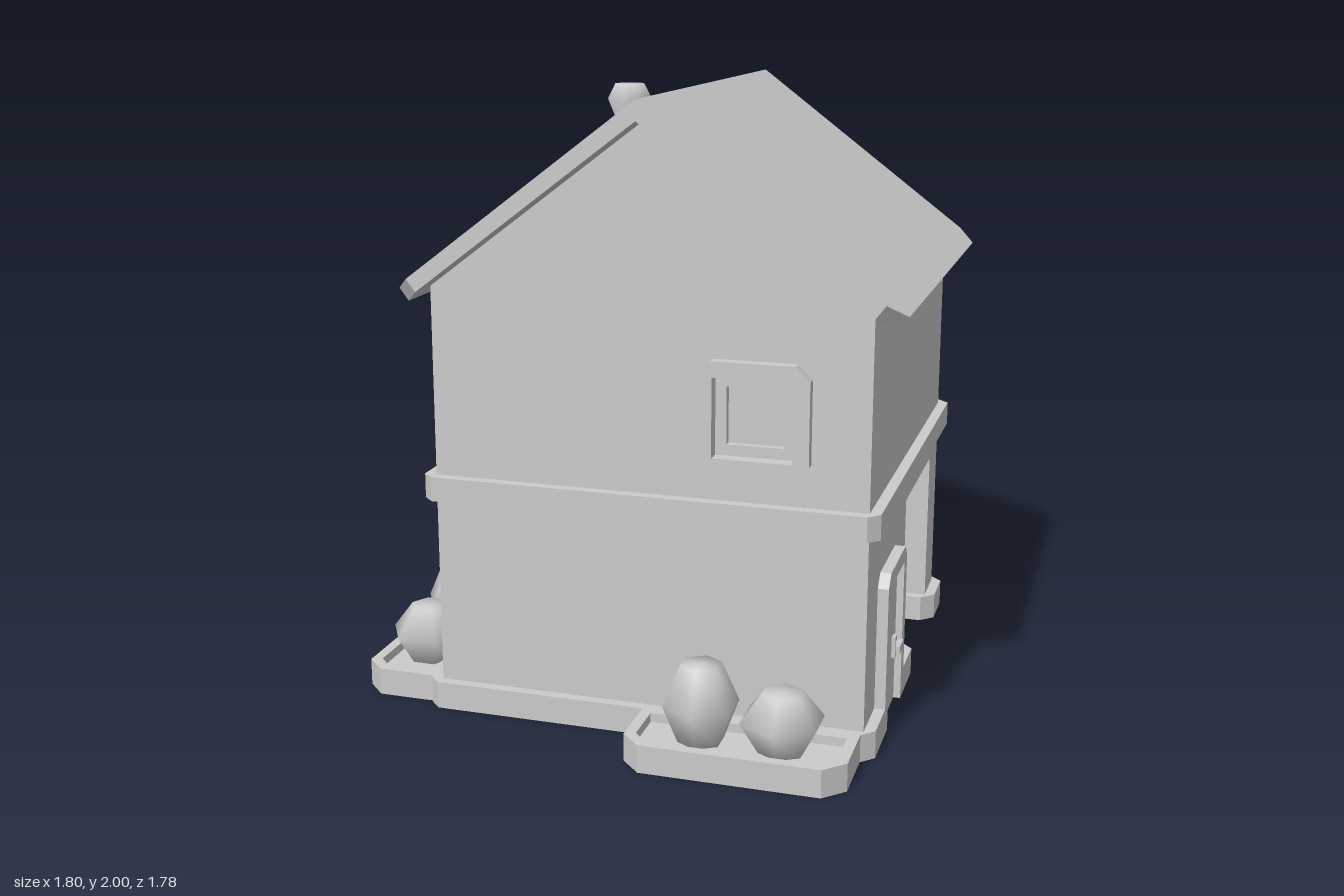
import * as THREE from 'three';

const grey = new THREE.MeshStandardMaterial({ color: 0xcccccc });
const RIDGE_X = 0.1;

function add(parent, name, geometry, x = 0, y = 0, z = 0) {
  const mesh = new THREE.Mesh(geometry, grey);
  mesh.name = name;
  mesh.position.set(x, y, z);
  parent.add(mesh);
  return mesh;
}

// Outline from [x, y, chamfer] corners
function outline(corners) {
  const pts = [];
  corners.forEach(([x, y, c], i) => {
    const p = new THREE.Vector2(x, y);
    if (!c) return pts.push(p);
    for (const j of [i + corners.length - 1, i + 1]) {
      const q = corners[j % corners.length];
      pts.push(new THREE.Vector2(q[0], q[1]).sub(p).setLength(c).add(p));
    }
  });
  return pts;
}

const rect = (x0, y0, x1, y1, c = 0) => [[x0, y0, c], [x1, y0, c], [x1, y1, c], [x0, y1, c]];
const square = (x, y, s, c) => rect(x - s / 2, y - s / 2, x + s / 2, y + s / 2, c);

// Slab facing +z, from z = 0 to depth
function slab(corners, depth, holes = []) {
  const shape = new THREE.Shape(outline(corners));
  shape.holes = holes.map((h) => new THREE.Path(outline(h)));
  return new THREE.ExtrudeGeometry(shape, { depth, bevelEnabled: false });
}

// Slab lying flat: corners given as [x, z, chamfer], rising from y = 0
function plate(corners, height, holes = []) {
  const flip = (list) => list.map(([x, z, c]) => [x, -z, c]);
  return slab(flip(corners), height, holes.map(flip)).rotateX(-Math.PI / 2);
}

// One side of the house: local z points outwards
function facade(parent, name, x, z, turn) {
  const g = new THREE.Group();
  g.name = name;
  g.position.set(x, 0, z);
  g.rotation.y = turn;
  parent.add(g);
  return g;
}

function addWindow(parent, x, y, bar = false) {
  const g = new THREE.Group();
  g.name = 'window';
  g.position.set(x, y, 0);
  parent.add(g);
  add(g, 'windowSurround', slab(square(0, 0, 0.35, 0.045), 0.035, [square(0, 0, 0.25)]));
  add(g, 'windowSash', slab(square(0, 0, 0.25), 0.025, [square(0, 0, 0.18)]), 0, 0, -0.035);
  if (bar) add(g, 'windowBar', new THREE.BoxGeometry(0.18, 0.03, 0.025), 0, 0, -0.0225);
}

function addDoor(parent, x, panes) {
  const g = new THREE.Group();
  g.name = 'door';
  g.position.x = x;
  parent.add(g);
  add(g, 'doorFrame', slab([
    [-0.175, 0], [-0.125, 0], [-0.125, 0.48], [0.125, 0.48],
    [0.125, 0], [0.175, 0], [0.175, 0.53, 0.04], [-0.175, 0.53, 0.04],
  ], 0.035));
  add(g, 'doorLeaf', slab(rect(-0.125, 0, 0.125, 0.48), 0.012, panes));
  add(g, 'handlePlate', new THREE.BoxGeometry(0.035, 0.07, 0.012), 0.072, 0.205, 0.018);
  add(g, 'handleStem', new THREE.BoxGeometry(0.02, 0.02, 0.03), 0.072, 0.212, 0.03);
  add(g, 'handleLever', new THREE.BoxGeometry(0.07, 0.024, 0.014), 0.055, 0.212, 0.038);
}

// Roof half in plan: u runs down the slope from the ridge, mitred at the ridge
function roofHalf(z0, z1) {
  const slope = Math.atan(0.755), length = 1.003, t = 0.05;
  const geo = plate([[0, z0], [length, z0, 0.07], [length, z1, 0.07], [0, z1]], t).translate(0, -t, 0);
  const pos = geo.attributes.position;
  for (let i = 0; i < pos.count; i++) {
    if (pos.getX(i) < 1e-4 && pos.getY(i) < -t / 2) pos.setX(i, t * Math.tan(slope));
  }
  geo.computeVertexNormals();
  return geo.rotateZ(-slope);
}

function lathe(points, sides) {
  return new THREE.LatheGeometry(points.map(([r, y]) => new THREE.Vector2(r, y)), sides);
}

function addPlanter(parent, name, outer, inner, bushes, turn) {
  const g = new THREE.Group();
  g.name = name;
  parent.add(g);
  add(g, 'planterRim', plate(outer, 0.09, [inner]));
  add(g, 'soil', plate(inner, 0.06));
  const tall = [[0, 0.05], [0.07, 0.05], [0.122, 0.18], [0.066, 0.31], [0, 0.312]];
  const short = [[0, 0.05], [0.07, 0.05], [0.135, 0.16], [0.066, 0.25], [0, 0.252]];
  bushes.forEach(([x, z], i) => {
    add(g, 'bush', lathe(i ? short : tall, 6), x, 0, z).rotation.y = turn;
  });
}

export function createModel() {
  const house = new THREE.Group();
  house.name = 'house';

  // Solid core behind the outer walls
  add(house, 'frontCore', slab([
    [-0.55, 0.02], [0.8, 0.02], [0.8, 1.402], [RIDGE_X, 1.93], [-0.55, 1.44],
  ], 0.65), 0, 0, -0.1);
  add(house, 'backCore', slab([
    [RIDGE_X, 0.62], [0.8, 0.62], [0.8, 1.402], [RIDGE_X, 1.93],
  ], 0.65), 0, 0, -0.75);
  add(house, 'backRoom', new THREE.BoxGeometry(0.7, 0.7, 0.7), -0.25, 0.37, -0.45);

  // Outer walls with windows and doors
  const front = facade(house, 'frontSide', RIDGE_X, 0.6, 0);
  add(front, 'frontWall', slab([
    [-0.7, 0.02], [0.7, 0.02], [0.7, 1.402], [0, 1.93], [-0.7, 1.402],
  ], 0.05, [square(0.345, 1.055, 0.25)]), 0, 0, -0.05);
  addWindow(front, 0.345, 1.055);

  const back = facade(house, 'backSide', RIDGE_X, -0.8, Math.PI);
  add(back, 'backWall', slab([
    [-0.7, 0.62], [0, 0.62], [0, 1.93], [-0.7, 1.402],
  ], 0.05, [square(-0.35, 1.055, 0.25)]), 0, 0, -0.05);
  addWindow(back, -0.35, 1.055, true);
  addDoor(back, 0.34, [square(0, 0.35, 0.065), square(0, 0.25, 0.065)]);

  const right = facade(house, 'doorSide', 0.8, 0.245, Math.PI / 2);
  addDoor(right, 0, []);

  const left = facade(house, 'windowSide', -0.6, 0.25, -Math.PI / 2);
  add(left, 'sideWall', slab(rect(-0.35, 0.02, 0.3, 1.405), 0.05,
    [square(0, 0.355, 0.25), square(0, 1.055, 0.25)]), 0, 0, -0.05);
  addWindow(left, 0, 0.355);
  addWindow(left, 0, 1.055);

  // Band between the storeys, forming the balcony rim
  add(house, 'storeyBand', plate(rect(-0.64, -0.84, 0.835, 0.635, 0.035), 0.08,
    [rect(-0.605, -0.81, 0.06, -0.14, 0.012)]), 0, 0.71, 0);
  add(house, 'balconyFloor', new THREE.BoxGeometry(0.7, 0.02, 0.71), -0.27, 0.735, -0.47);

  // Base skirt, cut out at the doors and the open corner
  add(house, 'baseSkirt', plate([
    [-0.64, 0.635, 0.035], [0.835, 0.635, 0.05], [0.835, 0.42], [0.79, 0.42], [0.79, 0.07],
    [0.835, 0.07], [0.835, -0.14, 0.04], [0.14, -0.14], [0.14, -0.84, 0.04],
    [-0.065, -0.84], [-0.065, -0.79], [-0.415, -0.79], [-0.415, -0.84], [-0.64, -0.84, 0.04],
  ], 0.09));

  // Corner post of the open bay
  add(house, 'cornerPost', new THREE.BoxGeometry(0.17, 0.66, 0.17), 0.715, 0.34, -0.715);
  add(house, 'postBase', plate(rect(0.595, -0.84, 0.835, -0.595, 0.045), 0.09));

  // Roof
  add(house, 'roofRight', roofHalf(-0.89, 0.68), RIDGE_X, 1.997, 0);
  add(house, 'roofLeft', roofHalf(-0.68, 0.195), RIDGE_X, 1.997, 0).rotation.y = Math.PI;

  // Chimney
  add(house, 'chimney', lathe([
    [0.05, 1.7], [0.05, 1.89], [0.076, 1.95], [0.05, 2], [0, 2],
  ], 8), -0.12, 0, 0.06);

  // Planters with bushes
  addPlanter(house, 'frontPlanter',
    [[0.1, 0.625], [0.1, 0.89, 0.065], [0.795, 0.89, 0.065], [0.795, 0.625]],
    [[0.135, 0.66], [0.135, 0.855, 0.045], [0.76, 0.855, 0.045], [0.76, 0.66]],
    [[0.32, 0.735], [0.575, 0.735]], 0);
  addPlanter(house, 'sidePlanter',
    [[-0.63, -0.105], [-0.9, -0.105, 0.065], [-0.9, 0.59, 0.065], [-0.63, 0.59]],
    [[-0.665, -0.07], [-0.865, -0.07, 0.045], [-0.865, 0.555, 0.045], [-0.665, 0.555]],
    [[-0.745, 0.115], [-0.745, 0.375]], Math.PI / 2);

  return house;
}
